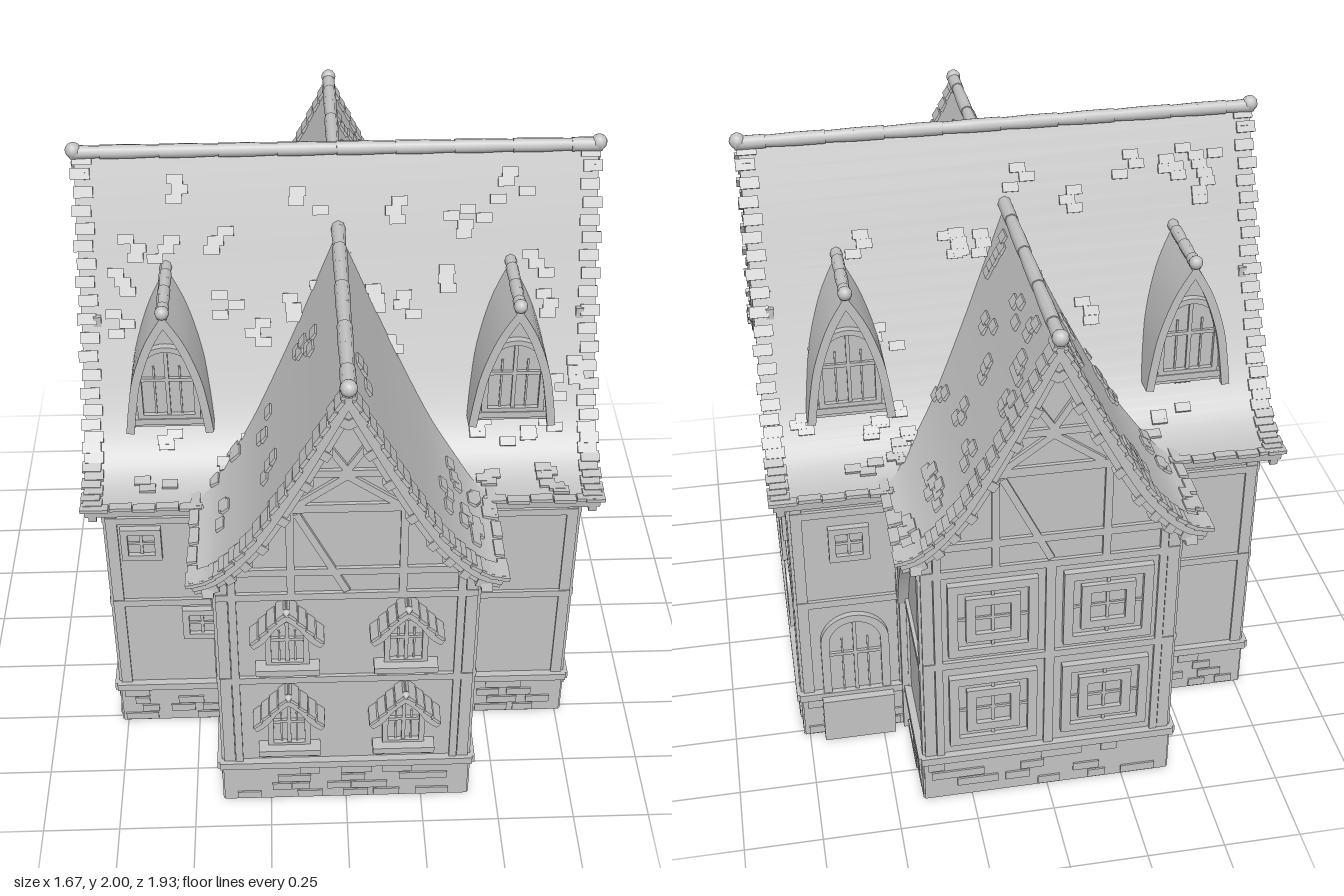
import * as THREE from 'three';
import { mergeGeometries, toCreasedNormals } from 'three/addons/utils/BufferGeometryUtils.js';

const grey = new THREE.MeshStandardMaterial({ color: 0xc2c2c2, side: THREE.DoubleSide });
grey.name = 'plainGrey';

let seed = 7;
const rnd = () => (seed = (seed * 16807) % 2147483647) / 2147483647;
const V = (x, y) => new THREE.Vector2(x, y);

function add(parent, geo, name, x = 0, y = 0, z = 0) {
  const m = new THREE.Mesh(geo, grey);
  m.name = name;
  m.position.set(x, y, z);
  parent.add(m);
  return m;
}
const box = (p, name, w, h, d, x, y, z) => add(p, new THREE.BoxGeometry(w, h, d), name, x, y, z);
const extrude = (shape, depth) =>
  new THREE.ExtrudeGeometry(shape, { depth, bevelEnabled: false, curveSegments: 10 });

// Timber laid on a wall from one point to another
function beam(p, x1, y1, x2, y2, w = 0.03, d = 0.024) {
  const m = box(p, 'timber', Math.hypot(x2 - x1, y2 - y1), w, d, (x1 + x2) / 2, (y1 + y2) / 2, 0);
  m.rotation.z = Math.atan2(y2 - y1, x2 - x1);
}
const curve = (pts, n) => new THREE.SplineCurve(pts.map(a => V(...a))).getPoints(n);

// Line moved inwards by t; the apex stays on the centre line
function inset(pts, t, centred = true) {
  return pts.map((p, i) => {
    const d = pts[Math.min(i + 1, pts.length - 1)].clone().sub(pts[Math.max(i - 1, 0)]).normalize();
    return centred && i === 0 ? V(0, p.y - t / Math.max(d.x, 0.3)) : V(p.x + d.y * t, p.y - d.x * t);
  });
}
const mirror = pts => [...pts.slice(1).reverse().map(p => V(-p.x, p.y)), ...pts];
// Symmetric curved shell of thickness t below a half profile
const shell = (pts, t) => new THREE.Shape([...mirror(pts), ...mirror(inset(pts, t)).reverse()]);
const smooth = (shape, depth) => toCreasedNormals(extrude(shape, depth), 0.6);
const bow = (a, c, b, t) => {
  const pts = new THREE.QuadraticBezierCurve(V(...a), V(...c), V(...b)).getPoints(10);
  return new THREE.Shape([...pts, ...inset(pts, t, false).reverse()]);
};

// Ridge tiles and end knobs, running along z from z0 to z1
function ridge(p, y, z0, z1, r, n, knobs) {
  const len = (z1 - z0) / n, parts = [];
  for (let i = 0; i < n; i++) {
    const g = new THREE.CylinderGeometry(r * (0.85 + 0.15 * (i % 2)), r, len * 1.04, 8);
    parts.push(g.rotateX(Math.PI / 2).translate(0, y, z0 + len * (i + 0.5)));
  }
  add(p, mergeGeometries(parts), 'ridgeTiles');
  knobs.forEach(z => add(p, new THREE.SphereGeometry(r * 1.1, 12, 8), 'ridgeKnob', 0, y + r * 0.3, z));
}

// Flared roof with its ridge along z
function gableRoof(name, pts, half, ridgeY) {
  const g = new THREE.Group();
  g.name = name;
  add(g, smooth(shell(pts, 0.03), half * 2), 'roofShell', 0, 0, -half);
  ridge(g, ridgeY, -half - 0.008, half + 0.008, 0.023, 18, [-half, half]);
  const tiles = [], n = pts.length - 1;
  const tile = (t, w, side, l, h = 0.03, lift = 0.003, thick = 0.012) => {
    const i = Math.min(Math.floor(t * n), n - 1), a = pts[i], b = pts[i + 1];
    const p = a.clone().lerp(b, t * n - i), d = b.clone().sub(a).normalize();
    const q = new THREE.BoxGeometry(h, thick, l).rotateZ(Math.atan2(d.y, d.x) + 0.12);
    q.translate(p.x - d.y * lift, p.y + d.x * lift, w);
    if (side < 0) q.rotateY(Math.PI);
    tiles.push(q);
  };
  for (const side of [1, -1]) {
    // Scattered raised tiles in short patches
    for (let k = 0; k < 42; k++) {
      const t = 0.06 + 0.88 * rnd(), w = (rnd() * 2 - 1) * (half - 0.1);
      for (let j = 0; j < 3; j++) tile(Math.min(t + j * 0.02, 0.97), w + (rnd() - 0.5) * 0.1, side, 0.05);
    }
    // Staggered verge tiles, eave tiles and purlin ends
    for (let k = 0; k < 26; k++) for (const e of [1, -1])
      tile((k + 0.5) / 26, e * (half - 0.025 + 0.008 * (k % 2)), side, 0.06, 0.036);
    for (let k = 0; k < 22; k++) tile(0.975 + 0.012 * (k % 2), (k / 21 * 2 - 1) * (half - 0.04), side, 0.07);
    for (let k = 1; k < 9; k++) for (const e of [1, -1])
      tile(k / 9.3, e * (half - 0.02), side, 0.03, 0.03, -0.045, 0.03);
  }
  add(g, mergeGeometries(tiles), 'roofTiles');
  const under = inset(pts, 0.028);
  for (const z of [half - 0.035, -half + 0.01])
    add(g, smooth(shell(under, 0.022), 0.025), 'bargeBoard', 0, 0, z);
  return g;
}

function arch(w, h, y = 0, Type = THREE.Shape) {
  const s = new Type();
  s.moveTo(-w, y).lineTo(w, y).lineTo(w, h - w).absarc(0, h - w, w, 0, Math.PI, false).lineTo(-w, y);
  return s;
}
// Arched window: frame, pane and glazing bars; lattice gives diamond panes
function archWindow(p, x, y, w, h, lattice, f = 0.018) {
  const g = new THREE.Group();
  g.name = 'archedWindow';
  g.position.set(x, y, 0);
  p.add(g);
  const ring = arch(w + f, h + f, -f);
  ring.holes.push(arch(w, h, 0, THREE.Path));
  add(g, extrude(ring, 0.055), 'windowFrame', 0, 0, -0.035);
  add(g, extrude(arch(w, h), 0.004), 'windowPane', 0, 0, 0.001);
  if (lattice) {
    for (let k = 0; k < 4; k++) for (const s of [1, -1]) {
      const c = h * (0.2 + 0.2 * k), r = w * 0.8;
      beam(g, -r, c - s * r, r, Math.min(c + s * r, h * 0.95), 0.005, 0.018);
    }
  } else {
    beam(g, 0, 0, 0, h, 0.012, 0.03);
    beam(g, -w, h * 0.55, w, h * 0.55, 0.012, 0.03);
    for (const s of [1, -1]) beam(g, s * w * 0.5, 0, s * w * 0.5, h * 0.75, 0.006, 0.022);
  }
  return g;
}
// Square window with a heavy surround of the given outer size
function squareWindow(p, x, y, size, f) {
  const g = new THREE.Group();
  g.name = 'squareWindow';
  g.position.set(x, y, 0);
  p.add(g);
  const r = size / 2 - f / 2;
  for (const s of [1, -1]) {
    box(g, 'windowFrame', size, f, 0.06, 0, s * r, -0.008);
    box(g, 'windowFrame', f, size, 0.06, s * r, 0, -0.008);
  }
  box(g, 'windowPane', size - f, size - f, 0.006, 0, 0, 0.003);
  beam(g, 0, -r, 0, r, 0.01, 0.024);
  beam(g, -r, 0, r, 0, 0.01, 0.024);
}
const hood = curve([[0, 0.252], [0.05, 0.205], [0.085, 0.15], [0.115, 0.125]], 8);
function hoodedWindow(p, x, y) {
  const g = archWindow(p, x, y, 0.05, 0.17, false);
  add(g, smooth(shell(hood, 0.022), 0.068), 'windowHood', 0, 0, 0);
  add(g, new THREE.SphereGeometry(0.014, 8, 6), 'hoodKnob', 0, 0.25, 0.06);
  for (let k = 0; k < 4; k++) for (const s of [1, -1]) {
    const m = box(g, 'hoodTile', 0.032, 0.01, 0.075, s * (0.018 + k * 0.027), 0.243 - k * 0.033, 0.036);
    m.rotation.z = -s * 0.75;
  }
  box(g, 'windowSill', 0.2, 0.024, 0.055, 0, -0.022, 0.02);
  for (const s of [1, -1]) box(g, 'sillBracket', 0.03, 0.03, 0.03, s * 0.075, -0.045, 0.012);
}

const mainProfile = curve([[0, 1.965], [0.075, 1.79], [0.155, 1.6], [0.245, 1.4], [0.34, 1.21], [0.42, 1.1], [0.51, 1.045], [0.595, 1.03]], 28);
const wingProfile = curve([[0, 1.735], [0.08, 1.57], [0.165, 1.4], [0.27, 1.21], [0.345, 1.11], [0.41, 1.05], [0.468, 1.03]], 24);
const dormerProfile = curve([[0, 1.635], [0.06, 1.53], [0.105, 1.4], [0.125, 1.29], [0.138, 1.19]], 14);

// Gable panel between the wall top and the underside of a roof
function gablePanel(p, pts, half) {
  const top = inset(pts, 0.02).filter(q => q.x <= half);
  add(p, extrude(new THREE.Shape([V(-half, 0.98), ...mirror(top), V(half, 0.98)]), 0.03), 'gableWall', 0, 0, -0.03);
}

export function createModel() {
  const house = new THREE.Group();
  house.name = 'house';

  // Walls follow a cross-shaped plan; each gets a group facing outwards
  const quarter = [[0.4, 0.875], [0.4, 0.51], [0.76, 0.51]];
  const plan = [[-0.4, 0.875], ...quarter, ...[...quarter].reverse().map(([x, z]) => [x, -z]),
    ...quarter.map(([x, z]) => [-x, -z]), [-0.76, 0.51], [-0.4, 0.51]];
  const walls = plan.map(([x, z], i) => {
    const [x2, z2] = plan[(i + 1) % 12], len = Math.hypot(x2 - x, z2 - z), w = new THREE.Group();
    w.name = 'wall';
    w.position.set((x + x2) / 2, 0, (z + z2) / 2);
    w.rotation.y = Math.atan2(z - z2, x2 - x);
    house.add(w);
    box(w, 'wallPanel', len, 1.03, 0.03, 0, 0.515, -0.015);
    box(w, 'stoneFooting', len + 0.01, 0.165, 0.01, 0, 0.0825, 0.005);
    box(w, 'footingLedge', len + 0.03, 0.028, 0.035, 0, 0.172, 0.006);
    for (const y of [0.56, 0.92, 1.02]) beam(w, -len / 2, y, len / 2, y, 0.026);
    for (const s of [1, -1]) beam(w, s * (len / 2 - 0.018), 0.18, s * (len / 2 - 0.018), 1.02, 0.036, 0.018);
    // Raised stones in the footing
    const stones = [];
    for (let k = 0; k < len * 26; k++) {
      const sw = 0.05 + rnd() * 0.04;
      stones.push(new THREE.BoxGeometry(sw, 0.03, 0.012).translate(
        (rnd() - 0.5) * (len - sw), 0.022 + 0.038 * (k % 4), 0.01));
    }
    add(w, mergeGeometries(stones), 'footingStones');
    return w;
  });

  // Roofs
  const mainRoof = gableRoof('mainRoof', mainProfile, 0.81, 1.968);
  mainRoof.rotation.y = Math.PI / 2;
  house.add(mainRoof, gableRoof('wingRoof', wingProfile, 0.94, 1.738));

  // Main gable ends
  for (const i of [3, 9]) {
    const w = walls[i];
    gablePanel(w, mainProfile, 0.51);
    for (const s of [1, -1]) {
      beam(w, s * 0.2, 0.92, s * 0.2, 1.5);
      beam(w, s * 0.2, 1.18, s * 0.33, 1.18, 0.024);
      beam(w, 0, 1.61, s * 0.1, 1.7, 0.022);
      beam(w, s * 0.47, 0.18, s * 0.47, 0.92, 0.024);
      add(w, extrude(bow([s * 0.015, 1], [s * 0.03, 1.2], [s * 0.14, 1.27], 0.022), 0.012), 'curvedBrace');
      add(w, extrude(bow([s * 0.38, 0.93], [s * 0.36, 1.05], [s * 0.3, 1.15], 0.022), 0.012), 'curvedBrace');
    }
    beam(w, 0, 0.92, 0, 1.28);
    beam(w, -0.2, 1.28, 0.2, 1.28);
    beam(w, -0.18, 1.53, 0.18, 1.53);
    beam(w, -0.13, 1.61, 0.13, 1.61, 0.024);
    beam(w, 0, 1.61, 0, 1.85, 0.022);
    for (const x of i === 3 ? [-0.185, 0.185] : [-0.27, 0, 0.27]) {
      archWindow(w, x, 0.65, 0.05, 0.18, true);
      archWindow(w, x, 0.28, 0.055, 0.18, true);
    }
  }

  // Wing gable ends: hooded windows in front, square ones behind
  for (const i of [0, 6]) {
    const w = walls[i];
    gablePanel(w, wingProfile, 0.4);
    beam(w, -0.23, 1.27, 0.23, 1.27);
    beam(w, -0.15, 1.4, 0.15, 1.4, 0.024);
    for (const s of [1, -1]) {
      beam(w, s * 0.17, 0.92, s * 0.17, 1.27, 0.024);
      beam(w, s * 0.15, 1.28, 0, 1.39, 0.022);
      beam(w, 0, 1.41, s * 0.07, 1.52, 0.02);
      beam(w, s * 0.35, 0.18, s * 0.35, 1.02, 0.024);
      for (const y of [0.28, 0.65]) {
        if (i === 0) hoodedWindow(w, s * 0.185, y);
        else {
          squareWindow(w, s * 0.18, y + 0.09, 0.28, 0.03);
          squareWindow(w, s * 0.18, y + 0.09, 0.17, 0.03);
        }
      }
    }
    beam(w, -0.15, 1.25, 0, 0.94, 0.022);
    if (i === 6) beam(w, 0, 0.18, 0, 0.92);
  }

  // Inner corner posts and great curved braces under the wing eaves
  for (const i of [1, 5, 7, 11]) {
    const s = i === 1 || i === 7 ? 1 : -1, w = walls[i];
    box(w, 'cornerPost', 0.035, 1.02, 0.035, s * 0.168, 0.51, 0.012);
    add(w, smooth(bow([s * 0.18, 0.56], [s * 0.06, 0.94], [s * -0.24, 1.01], s * -0.035), 0.035), 'eaveBrace');
    add(w, extrude(bow([s * 0.16, 0.8], [s * 0.14, 0.95], [s * 0.02, 1.01], s * -0.02), 0.025), 'smallBrace');
  }

  // Small windows and the back door on the main walls
  squareWindow(walls[10], -0.07, 0.825, 0.13, 0.022);
  squareWindow(walls[10], 0.11, 0.465, 0.13, 0.022);
  squareWindow(walls[4], 0, 0.8, 0.13, 0.022);
  const door = archWindow(walls[4], 0, 0.18, 0.085, 0.3, false, 0.028);
  door.name = 'backDoor';
  box(door, 'doorStep', 0.24, 0.17, 0.06, 0, -0.095, 0.02);

  // Dormers on both slopes
  for (const x of [-0.54, 0.54]) for (const back of [0, 1]) {
    const d = new THREE.Group();
    d.name = 'dormer';
    d.position.x = x;
    d.rotation.y = back * Math.PI;
    house.add(d);
    add(d, smooth(shell(dormerProfile, 0.018), 0.26), 'dormerRoof', 0, 0, 0.14);
    add(d, smooth(shell(dormerProfile, 0.026), 0.02), 'dormerTrim', 0, 0, 0.392);
    const face = inset(dormerProfile, 0.01);
    add(d, extrude(new THREE.Shape(mirror(face)), 0.02), 'dormerFace', 0, 0, 0.355);
    ridge(d, 1.635, 0.13, 0.41, 0.02, 6, [0.405]);
    archWindow(d, 0, 1.25, 0.08, 0.24, false).position.z = 0.377;
    box(d, 'dormerSill', 0.22, 0.022, 0.04, 0, 1.225, 0.38);
  }
  return house;
}
